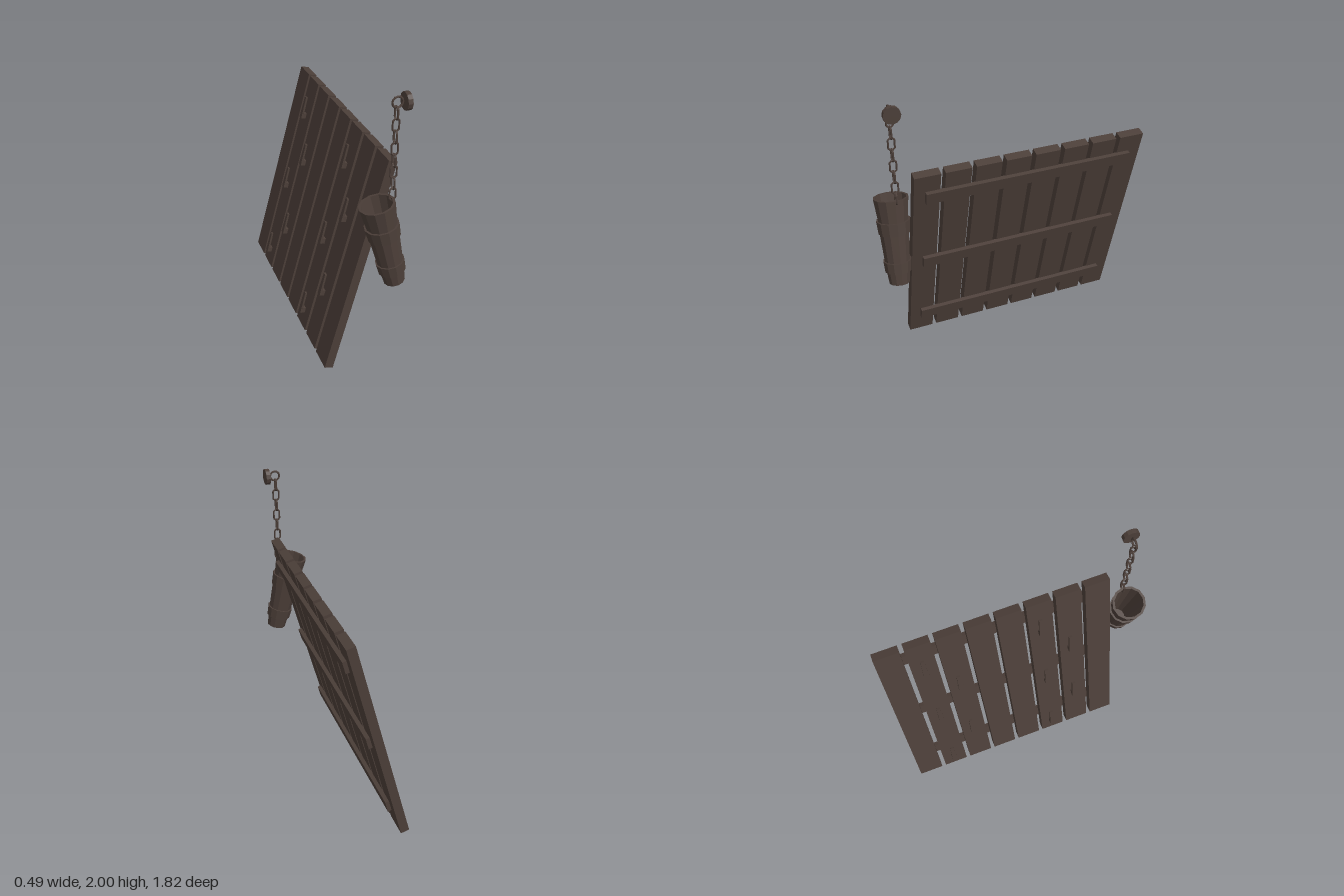
import * as THREE from 'three';

const brown = new THREE.MeshStandardMaterial({ color: 0x4b3e38 });
brown.name = 'dark brown';

// Faceted mesh with one normal per face
function part(name, geometry, parent, x = 0, y = 0, z = 0) {
  const flat = geometry.index ? geometry.toNonIndexed() : geometry;
  flat.computeVertexNormals();
  const mesh = new THREE.Mesh(flat, brown);
  mesh.name = name;
  mesh.position.set(x, y, z);
  parent.add(mesh);
  return mesh;
}

// Octagonal loop stretched along y
function linkGeometry() {
  const g = new THREE.TorusGeometry(0.022, 0.0065, 6, 8);
  g.rotateZ(Math.PI / 8);
  const p = g.attributes.position;
  for (let i = 0; i < p.count; i++) p.setY(i, p.getY(i) + Math.sign(p.getY(i)) * 0.018);
  return g;
}

// Upright bar narrowing toward its top
function barGeometry() {
  const g = new THREE.BoxGeometry(0.014, 0.164, 0.038);
  const p = g.attributes.position;
  for (let i = 0; i < p.count; i++) if (p.getY(i) > 0) p.setZ(i, p.getZ(i) * 0.65);
  return g;
}

function createPanel() {
  const panel = new THREE.Group();
  panel.name = 'leaningPanel';
  panel.position.set(-0.01, 0.762, 0);
  panel.rotation.z = -Math.PI / 12;

  // Eight planks with gaps
  for (let i = 0; i < 8; i++) {
    part('plank', new THREE.BoxGeometry(0.06, 1.557, 0.173), panel, 0, 0, 0.598 - i * 0.2032);
  }
  // Cross battens on the underside
  for (const y of [-0.586, -0.006, 0.605]) {
    part('crossBatten', new THREE.BoxGeometry(0.03, 0.087, 1.436), panel, 0.042, y, -0.108);
  }
  // Staggered pegs on the upper side: a foot and a raised bar
  for (let row = 0; row < 5; row++) {
    const columns = row % 2 === 0 ? [-0.624, 0.185] : [-0.428, 0.382];
    for (const z of columns) {
      const peg = new THREE.Group();
      peg.name = 'peg';
      peg.position.set(0, -0.68 + row * 0.29, z);
      part('pegFoot', new THREE.BoxGeometry(0.03, 0.04, 0.036), peg, -0.042, 0.02, 0);
      part('pegBar', barGeometry(), peg, -0.057, 0.082, 0);
      panel.add(peg);
    }
  }
  return panel;
}

function createChain() {
  const chain = new THREE.Group();
  chain.name = 'hangingChain';
  chain.position.set(0.145, 1.945, 0.788);

  // Wall disc and eye ring
  const disc = new THREE.CylinderGeometry(0.055, 0.055, 0.03, 12);
  disc.rotateZ(Math.PI / 2);
  part('wallDisc', disc, chain, 0.06, 0, 0);
  part('eyeRing', new THREE.TorusGeometry(0.033, 0.007, 6, 12), chain, 0.004, 0, 0);

  // Links alternate by a quarter turn
  for (let i = 0; i < 8; i++) {
    const link = part('chainLink', linkGeometry(), chain, 0, -0.065 - i * 0.075, 0);
    link.rotation.y = i % 2 === 0 ? Math.PI / 2 : 0;
  }
  return chain;
}

function createBucket() {
  // Hollow tapered vessel with two raised bands: [radius, height below rim]
  const profile = [
    [0, 0.584], [0.068, 0.584], [0.077, 0.5], [0.087, 0.5], [0.093, 0.425],
    [0.083, 0.425], [0.096, 0.235], [0.103, 0.235], [0.11, 0.15],
    [0.097, 0.15], [0.114, 0], [0.098, 0], [0.06, 0.5], [0, 0.5],
  ].map(([r, s]) => new THREE.Vector2(r, -s));
  const bucket = new THREE.Group();
  bucket.name = 'taperedBucket';
  part('bucketBody', new THREE.LatheGeometry(profile, 12), bucket);
  bucket.position.set(0.043, 1.31, 0.796);
  bucket.quaternion.setFromUnitVectors(
    new THREE.Vector3(0, -1, 0),
    new THREE.Vector3(0.131, -0.569, 0.02).normalize(),
  );
  return bucket;
}

export function createModel() {
  const model = new THREE.Group();
  model.name = 'plankPanelWithHangingBucket';
  model.add(createPanel(), createChain(), createBucket());
  return model;
}
